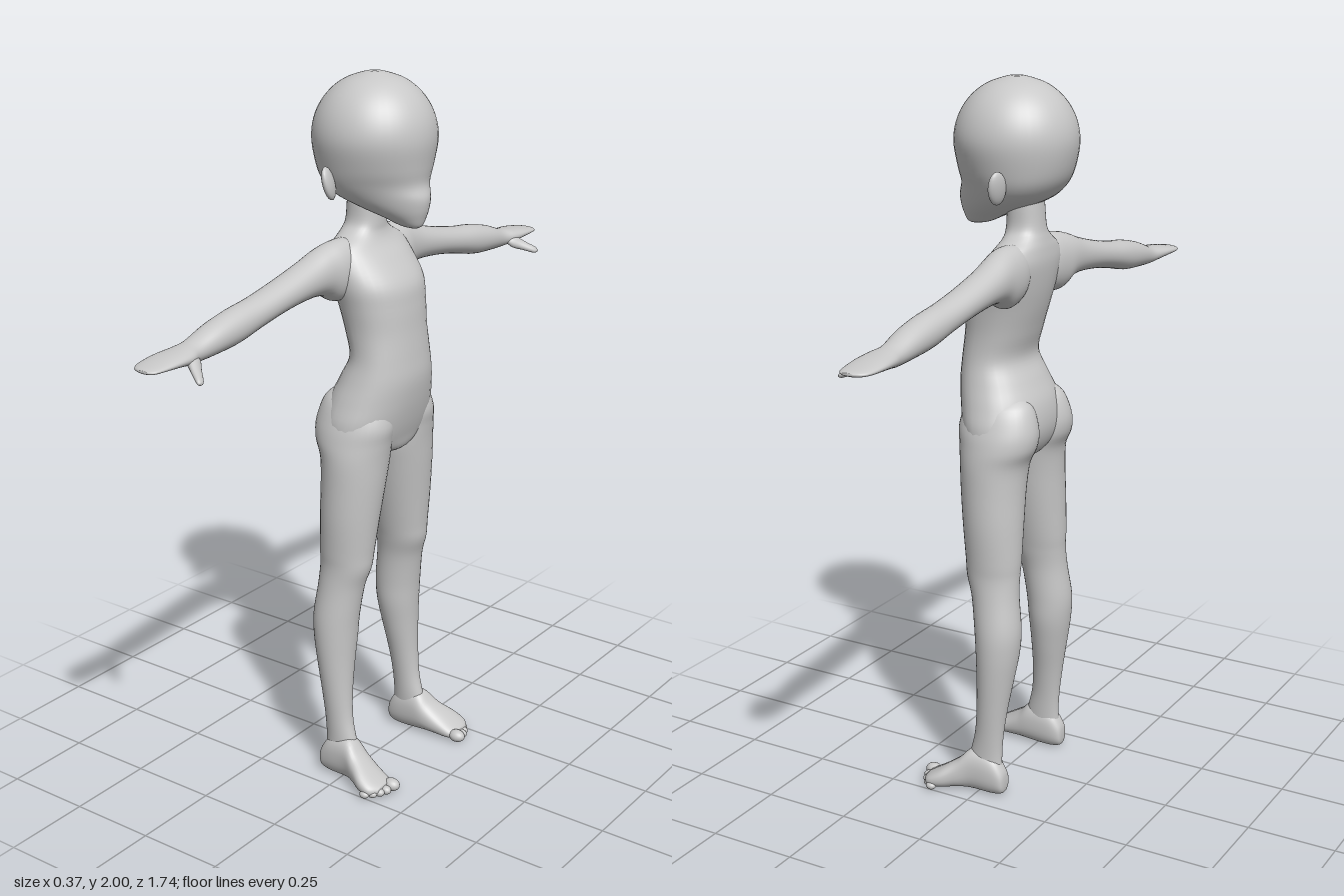
import * as THREE from 'three';

const skin = new THREE.MeshStandardMaterial({ color: 0xc8c8c8 });
skin.name = 'plain grey';

// Smooth curve through equally spaced keys
function spline(keys, s, col) {
  const i = Math.min(Math.floor(s), keys.length - 2), f = s - i;
  const k = (j) => keys[Math.max(0, Math.min(keys.length - 1, j))][col] ?? 0;
  const [a, b, c, d] = [k(i - 1), k(i), k(i + 1), k(i + 2)];
  return b + 0.5 * f * (c - a + f * (2 * a - 5 * b + 4 * c - d + f * (3 * (b - c) + d - a)));
}

// Skin over oval sections. Key: [t, aMin, aMax, bMin, bMax, taper towards aMax]
function loft(name, keys, place, power = 2, sides = 36, steps = 5) {
  const pos = [], index = [], rings = (keys.length - 1) * steps;
  const add = (t, a, b) => pos.push(...place(t, a, b));
  const soft = (v) => Math.sign(v) * Math.pow(Math.abs(v), 2 / power);
  for (let r = 0; r <= rings; r++) {
    const [t, a0, a1, b0, b1, taper] = [0, 1, 2, 3, 4, 5].map((c) => spline(keys, r / steps, c));
    for (let j = 0; j < sides; j++) {
      const th = (j / sides) * Math.PI * 2, u = soft(Math.cos(th));
      const v = soft(Math.sin(th)) * (1 - taper * u);
      add(t, (a0 + a1) / 2 + (u * (a1 - a0)) / 2, (b0 + b1) / 2 + (v * (b1 - b0)) / 2);
    }
  }
  for (let r = 0; r < rings; r++) for (let j = 0; j < sides; j++) {
    const p = r * sides + j, q = r * sides + ((j + 1) % sides);
    index.push(p, p + sides, q, q, p + sides, q + sides);
  }
  // End caps
  for (const k of [keys[0], keys[keys.length - 1]]) add(k[0], (k[1] + k[2]) / 2, (k[3] + k[4]) / 2);
  const c0 = (rings + 1) * sides;
  for (let j = 0; j < sides; j++) {
    const n = (j + 1) % sides;
    index.push(c0, j, n, c0 + 1, rings * sides + n, rings * sides + j);
  }
  // Turn the faces outward
  const P = (i) => new THREE.Vector3().fromArray(pos, i * 3);
  let volume = 0;
  for (let i = 0; i < index.length; i += 3) volume += P(index[i]).dot(P(index[i + 1]).cross(P(index[i + 2])));
  if (volume < 0) index.reverse();
  const g = new THREE.BufferGeometry();
  g.setAttribute('position', new THREE.Float32BufferAttribute(pos, 3));
  g.setIndex(index);
  g.computeVertexNormals();
  const m = new THREE.Mesh(g, skin);
  m.name = name;
  return m;
}

function ball(name, x, y, z, rx, ry, rz) {
  const m = new THREE.Mesh(new THREE.SphereGeometry(1, 20, 14), skin);
  m.name = name;
  m.position.set(x, y, z);
  m.scale.set(rx, ry, rz);
  return m;
}

const sym = ([y, x0, x1, w, taper = 0]) => [y, x0, x1, -w, w, taper];
const upright = (t, a, b) => [a, t, b];

export function createModel() {
  const model = new THREE.Group();
  model.name = 'figure';

  // Torso and neck: height, back, front, half width
  model.add(loft('torso', [
    [0.965, -0.05, 0.04, 0.02], [0.98, -0.085, 0.075, 0.09], [1.02, -0.11, 0.09, 0.175],
    [1.07, -0.12, 0.105, 0.184], [1.13, -0.112, 0.118, 0.167], [1.19, -0.085, 0.125, 0.147],
    [1.25, -0.058, 0.121, 0.132], [1.32, -0.075, 0.114, 0.129], [1.39, -0.095, 0.108, 0.136],
    [1.45, -0.108, 0.097, 0.146, 0.05], [1.51, -0.115, 0.055, 0.148, 0.1], [1.55, -0.112, 0.02, 0.128],
    [1.578, -0.106, 0.006, 0.082], [1.605, -0.1, 0.004, 0.057], [1.66, -0.095, 0.002, 0.053],
    [1.72, -0.09, 0.0, 0.053],
  ].map(sym), upright, 2.2));

  // Head, round above with a narrow jaw pushed forward
  const cranium = [20, 40, 60, 80].map((deg) => {
    const c = Math.cos((deg * Math.PI) / 180), s = Math.sin((deg * Math.PI) / 180);
    return [1.832 + 0.168 * s, -0.018 - 0.168 * c, -0.018 + 0.168 * c, 0.166 * c];
  });
  model.add(loft('head', [
    [1.603, 0.09, 0.122, 0.012], [1.61, 0.06, 0.132, 0.028], [1.63, 0.015, 0.14, 0.052, 0.1],
    [1.655, -0.05, 0.147, 0.082, 0.2], [1.685, -0.115, 0.149, 0.112, 0.25], [1.72, -0.152, 0.138, 0.136, 0.16],
    [1.765, -0.174, 0.143, 0.153, 0.06], [1.832, -0.186, 0.15, 0.166], ...cranium,
    [1.999, -0.028, -0.008, 0.01], [2.0, -0.019, -0.017, 0.001],
  ].map(sym), upright, 2, 44));

  for (const side of [1, -1]) {
    const label = side > 0 ? 'front' : 'back';
    const group = new THREE.Group();
    group.name = label + 'SideLimbs';
    const vertical = (t, a, b) => [a, t, b * side];
    const sideways = (t, a, b) => [a, b, t * side];
    const forward = (t, a, b) => [t, a, b * side];

    // Leg with buttock, knee and calf: height, back, front, inner, outer
    group.add(loft('leg', [
      [1.16, -0.07, 0.05, 0.06, 0.11], [1.13, -0.11, 0.08, 0.02, 0.155], [1.07, -0.131, 0.098, 0.005, 0.183],
      [1.02, -0.128, 0.092, 0.002, 0.196], [0.97, -0.106, 0.086, 0.005, 0.202], [0.9, -0.1, 0.08, 0.02, 0.204],
      [0.8, -0.1, 0.07, 0.04, 0.205], [0.7, -0.1, 0.06, 0.06, 0.2], [0.65, -0.098, 0.055, 0.07, 0.198],
      [0.59, -0.1, 0.036, 0.08, 0.203], [0.5, -0.11, 0.022, 0.084, 0.215], [0.43, -0.106, 0.016, 0.088, 0.217],
      [0.35, -0.093, 0.012, 0.103, 0.213], [0.26, -0.078, 0.012, 0.122, 0.206], [0.18, -0.068, 0.018, 0.134, 0.2],
      [0.11, -0.065, 0.035, 0.139, 0.198], [0.04, -0.07, 0.05, 0.143, 0.2],
    ], vertical));

    // Foot: forward distance, sole, top, inner, outer
    group.add(loft('foot', [
      [-0.081, 0.03, 0.05, 0.16, 0.18], [-0.074, 0.01, 0.08, 0.147, 0.197], [-0.04, 0.003, 0.12, 0.138, 0.206],
      [0.02, 0.005, 0.13, 0.135, 0.214], [0.06, 0.006, 0.095, 0.138, 0.23], [0.1, 0.003, 0.067, 0.144, 0.25],
      [0.135, 0.004, 0.045, 0.15, 0.25], [0.155, 0.012, 0.032, 0.16, 0.225],
    ], forward, 2.3));

    // Toes, largest inside
    [[0.16, 0.168, 0.02], [0.158, 0.195, 0.014], [0.15, 0.215, 0.013], [0.138, 0.233, 0.012], [0.122, 0.248, 0.012]]
      .forEach(([x, z, r]) => group.add(ball('toe', x, r * 0.9 + 0.004, z * side, r * 1.25, r * 0.9, r)));

    // Arm and flat hand: reach, back, front, bottom, top
    group.add(loft('arm', [
      [0.05, -0.09, -0.02, 0.145 + 1.32, 1.55], [0.085, -0.106, -0.002, 1.42, 1.57], [0.14, -0.112, 0.002, 1.408, 1.57],
      [0.19, -0.113, -0.008, 1.432, 1.558], [0.25, -0.113, -0.014, 1.438, 1.537], [0.35, -0.112, -0.018, 1.429, 1.511],
      [0.45, -0.11, -0.02, 1.411, 1.491], [0.54, -0.11, -0.02, 1.391, 1.479], [0.62, -0.108, -0.023, 1.384, 1.461],
      [0.69, -0.104, -0.03, 1.381, 1.437], [0.73, -0.11, -0.021, 1.385, 1.43], [0.78, -0.116, -0.02, 1.391, 1.424],
      [0.83, -0.113, -0.026, 1.394, 1.416], [0.857, -0.1, -0.034, 1.396, 1.411], [0.868, -0.077, -0.048, 1.4, 1.407],
    ], sideways, 2.1));

    // Thumb, angled forward and down
    group.add(loft('thumb', [
      [0, -0.008, 0.008, 0.7, 0.735], [0.03, -0.017, 0.016, 0.703, 0.748], [0.055, -0.014, 0.011, 0.727, 0.762],
      [0.08, -0.01, 0.008, 0.75, 0.775], [0.088, -0.004, 0.003, 0.76, 0.772],
    ], (t, a, b) => [-0.058 + t, 1.41 + a - t * 0.5, b * side], 2, 20));

    // Ear
    const ear = ball('ear', -0.05, 1.728, 0.16 * side, 0.014, 0.046, 0.029);
    ear.rotation.set(0.25 * side, 0.35 * side, 0.1);
    group.add(ear);
    model.add(group);
  }
  return model;
}
